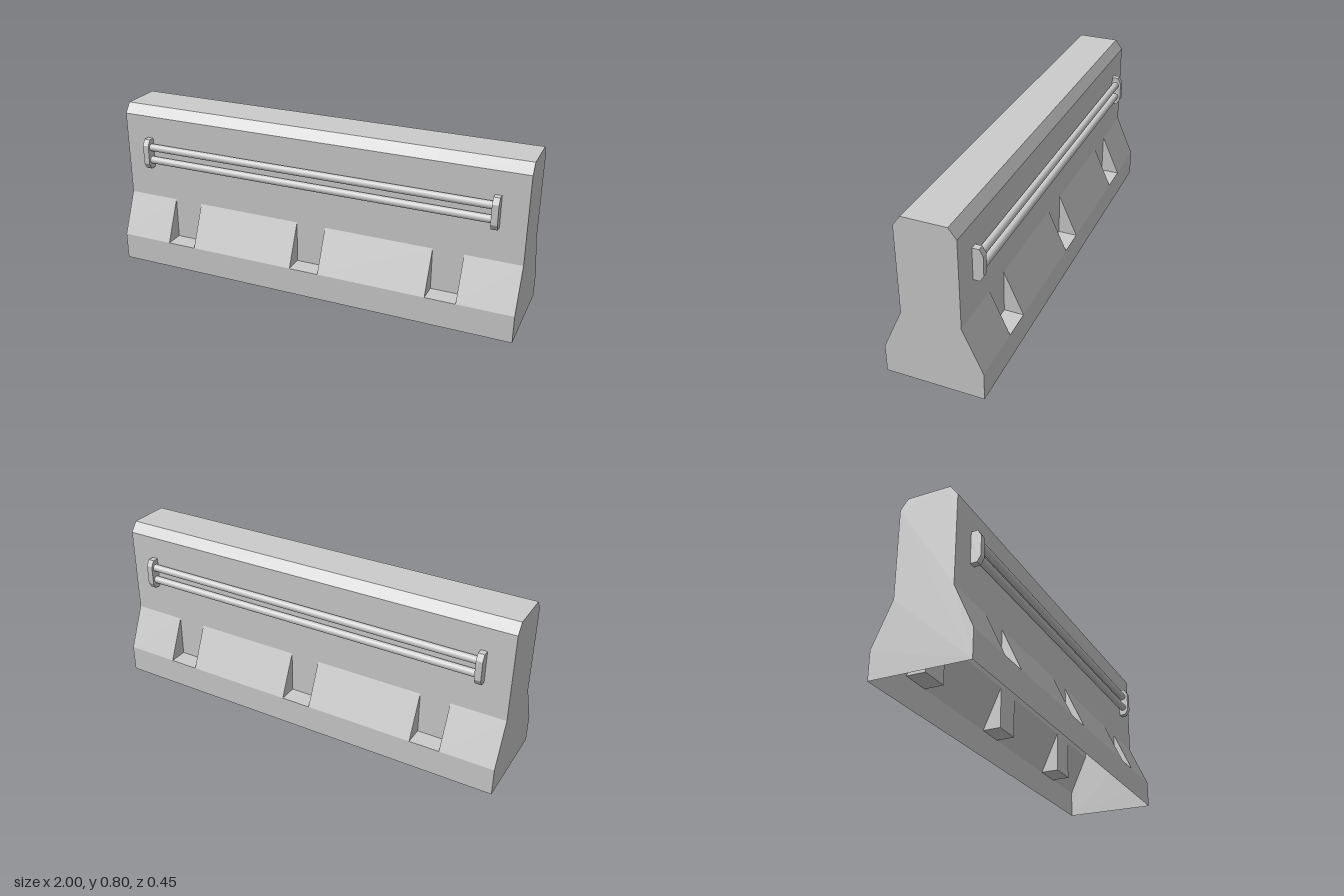
import * as THREE from 'three';
import { mergeGeometries } from 'three/addons/utils/BufferGeometryUtils.js';

const material = new THREE.MeshStandardMaterial({ color: 0xcccccc, side: THREE.DoubleSide });
const FLAT = 0.135; // half depth of the upright wall

// Half profiles as [z, y], from the ground up to the crown
const fullHalf = [[0.226, 0], [0.226, 0.132], [FLAT, 0.335], [FLAT, 0.753], [0.1, 0.8]];
const notchHalf = [[0.226, 0], [0.226, 0.132], [FLAT, 0.132], [FLAT, 0.753], [0.1, 0.8]];
const bothSides = (half) => [...half, ...half.map(([z, y]) => [-z, y]).reverse()];

// Open, faceted strip that carries a profile from x0 to x1
function strip(profile, x0, x1) {
  const pos = [];
  for (let i = 0; i < profile.length - 1; i++) {
    const [za, ya] = profile[i];
    const [zb, yb] = profile[i + 1];
    pos.push(x0, ya, za, x1, ya, za, x1, yb, zb, x0, ya, za, x1, yb, zb, x0, yb, zb);
  }
  const g = new THREE.BufferGeometry();
  g.setAttribute('position', new THREE.Float32BufferAttribute(pos, 3));
  g.computeVertexNormals();
  return g;
}

// Flat plate across x, facing +x or -x
function plate(points, x, facing) {
  const shape = new THREE.Shape(points.map(([z, y]) => new THREE.Vector2(-facing * z, y)));
  const g = new THREE.ShapeGeometry(shape).toNonIndexed();
  g.deleteAttribute('uv');
  return g.rotateY(facing * Math.PI / 2).translate(x, 0, 0);
}

function mesh(name, geometry) {
  const m = new THREE.Mesh(geometry, material);
  m.name = name;
  return m;
}

// Hollow barrier body, open underneath, with notches cut in both slopes
function barrierBody() {
  const full = bothSides(fullHalf);
  const notch = bothSides(notchHalf);
  const parts = [plate(full, -1, -1), plate(full, 1, 1)];
  let x = -1;
  for (const centre of [-0.67, -0.002, 0.666]) {
    const a = centre - 0.072, b = centre + 0.072;
    parts.push(strip(full, x, a), strip(notch, a, b));
    for (const s of [1, -1]) {
      const cheek = [[s * FLAT, 0.132], [s * 0.226, 0.132], [s * FLAT, 0.335]];
      parts.push(plate(cheek, a, 1), plate(cheek, b, -1));
    }
    x = b;
  }
  parts.push(strip(full, x, 1));
  return mesh('barrierBody', mergeGeometries(parts));
}

// Pair of horizontal bars held by chamfered end brackets
function railSet(name) {
  const group = new THREE.Group();
  group.name = name;
  for (const y of [0.602, 0.537]) {
    const bar = new THREE.CylinderGeometry(0.018, 0.018, 1.71, 16, 1, true);
    group.add(mesh('railBar', bar.rotateZ(Math.PI / 2).translate(0, y, 0.154)));
  }
  const outline = [[FLAT, 0.494], [0.165, 0.494], [0.182, 0.522], [0.182, 0.616], [0.165, 0.644], [FLAT, 0.644]];
  const shape = new THREE.Shape(outline.map(([z, y]) => new THREE.Vector2(-z, y)));
  for (const x of [-0.867, 0.867]) {
    const bracket = new THREE.ExtrudeGeometry(shape, { depth: 0.03, bevelEnabled: false });
    group.add(mesh('railBracket', bracket.rotateY(Math.PI / 2).translate(x - 0.015, 0, 0)));
  }
  return group;
}

export function createModel() {
  const model = new THREE.Group();
  model.name = 'roadBarrier';
  const backRails = railSet('backRails');
  backRails.rotation.y = Math.PI;
  model.add(barrierBody(), railSet('frontRails'), backRails);
  return model;
}
